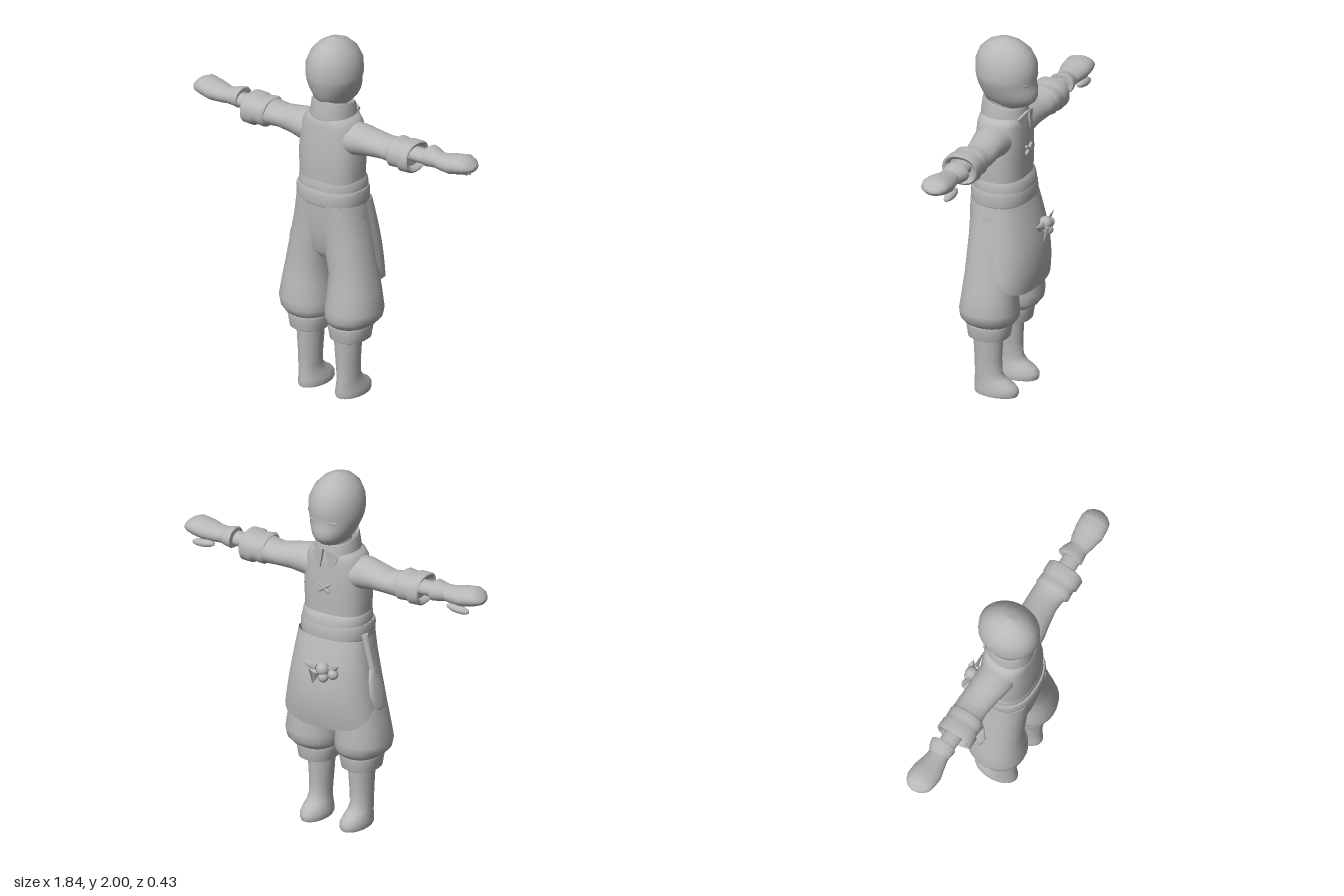
import * as THREE from 'three';
import { ParametricGeometry } from 'three/addons/geometries/ParametricGeometry.js';

const cloth = new THREE.MeshStandardMaterial({ color: 0xb8b8b8, side: THREE.DoubleSide });
cloth.name = 'plain grey';

// Smooth surface through oval rings [y, xMin, xMax, zMin, zMax]; a repeated ring makes a crease.
function loft(rings, power = 2, capStart = true, capEnd = true, n = 28) {
  const point = (r) => [r[0], (r[1] + r[2]) / 2, (r[1] + r[2]) / 2, (r[3] + r[4]) / 2, (r[3] + r[4]) / 2];
  const rows = [...rings];
  const last = rings[rings.length - 1];
  if (capStart) rows.unshift(point(rings[0]), rings[0]);
  if (capEnd) rows.push(last, point(last));
  const pos = [], index = [];
  const bend = (c) => Math.sign(c) * Math.abs(c) ** (2 / power);
  rows.forEach(([y, x0, x1, z0, z1], i) => {
    for (let j = 0; j < n; j++) {
      const a = (j / n) * Math.PI * 2;
      pos.push((x0 + x1) / 2 + (x1 - x0) / 2 * bend(Math.cos(a)), y,
        (z0 + z1) / 2 + (z1 - z0) / 2 * bend(Math.sin(a)));
      if (i + 1 < rows.length) {
        const p = i * n + j, q = i * n + (j + 1) % n;
        index.push(p, p + n, q, q, p + n, q + n);
      }
    }
  });
  const g = new THREE.BufferGeometry();
  g.setAttribute('position', new THREE.Float32BufferAttribute(pos, 3));
  g.setIndex(index);
  g.computeVertexNormals();
  return g;
}

// Rings along x: [x, yMin, yMax, zMin, zMax]
const armLoft = (rings, power) =>
  loft(rings.map(([x, y0, y1, z0, z1]) => [x, -y1, -y0, z0, z1]), power).rotateZ(-Math.PI / 2);

// Symmetric rings: [y, halfWidth, zFront, zBack]
const bodyLoft = (rings, power, a, b) => loft(rings.map(([y, w, z0, z1]) => [y, -w, w, z0, z1]), power, a, b);

function mirrored(geometry) {
  const g = geometry.clone().scale(-1, 1, 1);
  const ix = g.index.array;
  for (let i = 0; i < ix.length; i += 3) [ix[i], ix[i + 1]] = [ix[i + 1], ix[i]];
  return g;
}

export function createModel() {
  const model = new THREE.Group();
  model.name = 'figure';
  const add = (name, geometry) => {
    const m = new THREE.Mesh(geometry, cloth);
    m.name = name;
    model.add(m);
    return m;
  };
  const pair = (name, geometry) => {
    add(name + 'Left', geometry);
    add(name + 'Right', mirrored(geometry));
  };

  // Head, facing -z, with a brow dip and a rounded muzzle
  add('head', bodyLoft([
    [1.615, 0.04, -0.06, 0.06], [1.635, 0.07, -0.1, 0.11], [1.66, 0.092, -0.13, 0.15], [1.69, 0.108, -0.143, 0.168],
    [1.73, 0.125, -0.14, 0.185], [1.77, 0.139, -0.127, 0.195], [1.8, 0.144, -0.138, 0.202], [1.87, 0.141, -0.135, 0.202],
    [1.93, 0.115, -0.106, 0.18], [1.97, 0.077, -0.06, 0.138], [1.99, 0.043, -0.015, 0.095], [2.0, 0.005, 0.035, 0.045]]));
  for (const s of [-1, 1]) {
    const eye = add('eye', new THREE.SphereGeometry(1, 12, 6));
    eye.scale.set(0.026, 0.006, 0.004);
    eye.position.set(s * 0.062, 1.772, -0.111);
    eye.rotation.y = -s * 0.33;
  }
  add('neck', bodyLoft([[1.53, 0.075, -0.03, 0.12], [1.66, 0.07, -0.03, 0.12]]));

  // Standing collar, sloping down to the front, with two points
  const collar = bodyLoft([[1.53, 0.12, -0.09, 0.165], [1.56, 0.122, -0.088, 0.166], [1.64, 0.11, -0.078, 0.157],
    [1.65, 0.105, -0.073, 0.153], [1.65, 0.105, -0.073, 0.153], [1.645, 0.09, -0.055, 0.138], [1.57, 0.09, -0.055, 0.138]],
  2.2, false, false);
  collar.applyMatrix4(new THREE.Matrix4().set(1, 0, 0, 0, 0, 1, 0.22, -0.009, 0, 0, 1, 0, 0, 0, 0, 1));
  add('collar', collar);
  const pointShape = new THREE.Shape([[0.008, 0.075], [0.085, 0.05], [0.06, -0.01], [0.03, -0.035]]
    .map(([x, y]) => new THREE.Vector2(x, y)));
  for (const s of [-1, 1]) {
    const p = add('collarPoint', new THREE.ExtrudeGeometry(pointShape, { depth: 0.012, bevelEnabled: false }));
    p.scale.x = s;
    p.position.set(0, 1.53, -0.1);
    p.rotation.y = -s * 0.22;
  }

  // Tunic with a flared hem, sash below it
  add('tunic', bodyLoft([[1.12, 0.175, -0.09, 0.185], [1.25, 0.178, -0.09, 0.188], [1.35, 0.183, -0.092, 0.19],
    [1.45, 0.176, -0.09, 0.18], [1.53, 0.163, -0.082, 0.172], [1.565, 0.14, -0.078, 0.165], [1.585, 0.1, -0.06, 0.15]], 2.5));
  add('tunicHem', bodyLoft([[1.16, 0.186, -0.11, 0.192], [1.185, 0.187, -0.11, 0.193], [1.22, 0.184, -0.102, 0.19],
    [1.235, 0.175, -0.088, 0.185]], 2.4));
  add('sash', bodyLoft([[1.09, 0.19, -0.112, 0.2], [1.105, 0.196, -0.118, 0.206], [1.155, 0.197, -0.115, 0.207],
    [1.175, 0.192, -0.108, 0.2]], 2.4));

  // Crossed fastening on the chest
  for (const s of [-1, 1]) {
    const bar = add('chestTie', new THREE.CapsuleGeometry(0.009, 0.065, 4, 8));
    bar.position.set(0, 1.385, -0.097);
    bar.rotation.z = s * 0.95;
  }

  // Sleeves, wrists and mittens
  pair('sleeve', armLoft([[0.1, 1.36, 1.55, -0.06, 0.145], [0.18, 1.378, 1.548, -0.058, 0.14], [0.25, 1.39, 1.535, -0.055, 0.125],
    [0.34, 1.395, 1.517, -0.06, 0.11], [0.4, 1.39, 1.525, -0.06, 0.115], [0.415, 1.385, 1.532, -0.06, 0.125]]));
  pair('sleeveCuff', armLoft([[0.405, 1.395, 1.53, -0.055, 0.12], [0.42, 1.38, 1.54, -0.064, 0.135],
    [0.45, 1.383, 1.535, -0.062, 0.132], [0.48, 1.385, 1.533, -0.06, 0.13], [0.49, 1.372, 1.542, -0.066, 0.14],
    [0.545, 1.375, 1.542, -0.066, 0.14], [0.552, 1.385, 1.535, -0.058, 0.13], [0.552, 1.385, 1.535, -0.058, 0.13],
    [0.545, 1.4, 1.52, -0.045, 0.115], [0.52, 1.405, 1.515, -0.04, 0.11]], 2.3));
  pair('wrist', armLoft([[0.5, 1.43, 1.51, -0.02, 0.08], [0.64, 1.435, 1.51, -0.02, 0.078]]));
  pair('mittenCuff', armLoft([[0.615, 1.428, 1.532, -0.05, 0.085], [0.622, 1.424, 1.537, -0.054, 0.09],
    [0.65, 1.428, 1.53, -0.048, 0.085], [0.69, 1.432, 1.52, -0.03, 0.08]]));
  pair('mitten', armLoft([[0.67, 1.435, 1.52, -0.025, 0.08], [0.72, 1.43, 1.52, -0.035, 0.09], [0.79, 1.43, 1.535, -0.053, 0.108],
    [0.85, 1.443, 1.545, -0.055, 0.105], [0.885, 1.455, 1.53, -0.045, 0.095], [0.91, 1.465, 1.508, -0.022, 0.065],
    [0.92, 1.478, 1.492, 0.005, 0.035]]));
  const thumb = new THREE.SphereGeometry(1, 14, 8).scale(0.07, 0.022, 0.026).rotateZ(-0.1).translate(0.785, 1.428, -0.03);
  pair('thumb', thumb);

  // Baggy trousers with turned cuffs
  add('hips', bodyLoft([[0.77, 0.06, 0.0, 0.13], [0.82, 0.16, -0.06, 0.17], [0.92, 0.21, -0.09, 0.185],
    [1.02, 0.205, -0.095, 0.198], [1.1, 0.19, -0.1, 0.2]], 2.2));
  pair('trouserLeg', loft([[0.405, 0.03, 0.23, -0.045, 0.175], [0.425, 0.012, 0.262, -0.075, 0.2], [0.455, 0.003, 0.29, -0.097, 0.214],
    [0.5, 0.002, 0.301, -0.1, 0.216], [0.6, 0.012, 0.285, -0.093, 0.203], [0.7, 0.02, 0.265, -0.088, 0.192],
    [0.78, 0.0, 0.25, -0.085, 0.19], [0.9, -0.03, 0.227, -0.085, 0.188], [1.0, -0.06, 0.207, -0.09, 0.192],
    [1.1, -0.06, 0.19, -0.09, 0.197]], 2.2));
  pair('trouserCuff', loft([[0.33, 0.04, 0.225, -0.035, 0.172], [0.335, 0.032, 0.232, -0.042, 0.178], [0.4, 0.02, 0.243, -0.052, 0.187],
    [0.415, 0.025, 0.236, -0.045, 0.18]], 2.4));

  // Boots
  pair('boot', loft([[0, 0.053, 0.192, -0.088, 0.153], [0.012, 0.048, 0.196, -0.094, 0.157], [0.035, 0.05, 0.195, -0.094, 0.156],
    [0.06, 0.058, 0.19, -0.075, 0.155], [0.085, 0.065, 0.186, -0.03, 0.153], [0.12, 0.069, 0.184, 0.0, 0.151],
    [0.2, 0.063, 0.186, 0.003, 0.154], [0.36, 0.05, 0.196, -0.005, 0.162]]));

  // Apron wrapped round the front, its border turned in
  add('apron', new ParametricGeometry((u, v, target) => {
    const s = 2 * u - 1, a = s * Math.PI / 2;
    const y = 1.1 + v * (-0.5 + 0.14 * s ** 4);
    const border = u < 0.001 || u > 0.999 || v > 0.999 ? 0.9 : 1;
    const depth = 0.118 + 0.068 * Math.sin((1.1 - y) / 0.55 * 2.6);
    target.set(border * (0.2 + (1.1 - y) * 0.165) * Math.sin(a), y, -border * depth * Math.cos(a) ** 0.85 + 0.002);
  }, 40, 24));

  // Berries and leaves on the apron
  for (const [x, y, z, r] of [[-0.04, 0.955, -0.175, 0.036], [-0.1, 0.935, -0.168, 0.028], [-0.05, 0.915, -0.185, 0.028]]) {
    add('berry', new THREE.SphereGeometry(r, 16, 12)).position.set(x, y, z);
  }
  for (const [x, y, z, turn] of [[0.045, 0.965, -0.178, -1.25], [0.005, 0.905, -0.195, -2.9], [-0.105, 0.965, -0.17, 0.9]]) {
    const leaf = add('leaf', new THREE.ConeGeometry(0.036, 0.09, 4).scale(1, 1, 0.4));
    leaf.position.set(x, y, z);
    leaf.rotation.set(-0.2, 0, turn);
  }

  // Hanging tool at the hip: handle and flat rounded blade
  const tool = new THREE.Group();
  tool.name = 'hipTool';
  const handle = new THREE.Mesh(new THREE.CylinderGeometry(0.02, 0.016, 0.21, 10), cloth);
  handle.name = 'toolHandle';
  handle.position.y = 0.09;
  const blade = new THREE.Mesh(loft([[-0.225, -0.008, 0.008, -0.015, 0.015], [-0.2, -0.016, 0.016, -0.05, 0.05],
    [-0.13, -0.02, 0.02, -0.068, 0.068], [-0.05, -0.018, 0.018, -0.05, 0.05], [0.0, -0.016, 0.016, -0.024, 0.024]]), cloth);
  blade.name = 'toolBlade';
  tool.add(handle, blade);
  tool.position.set(-0.243, 0.94, -0.01);
  tool.rotation.z = -0.24;
  model.add(tool);

  return model;
}
